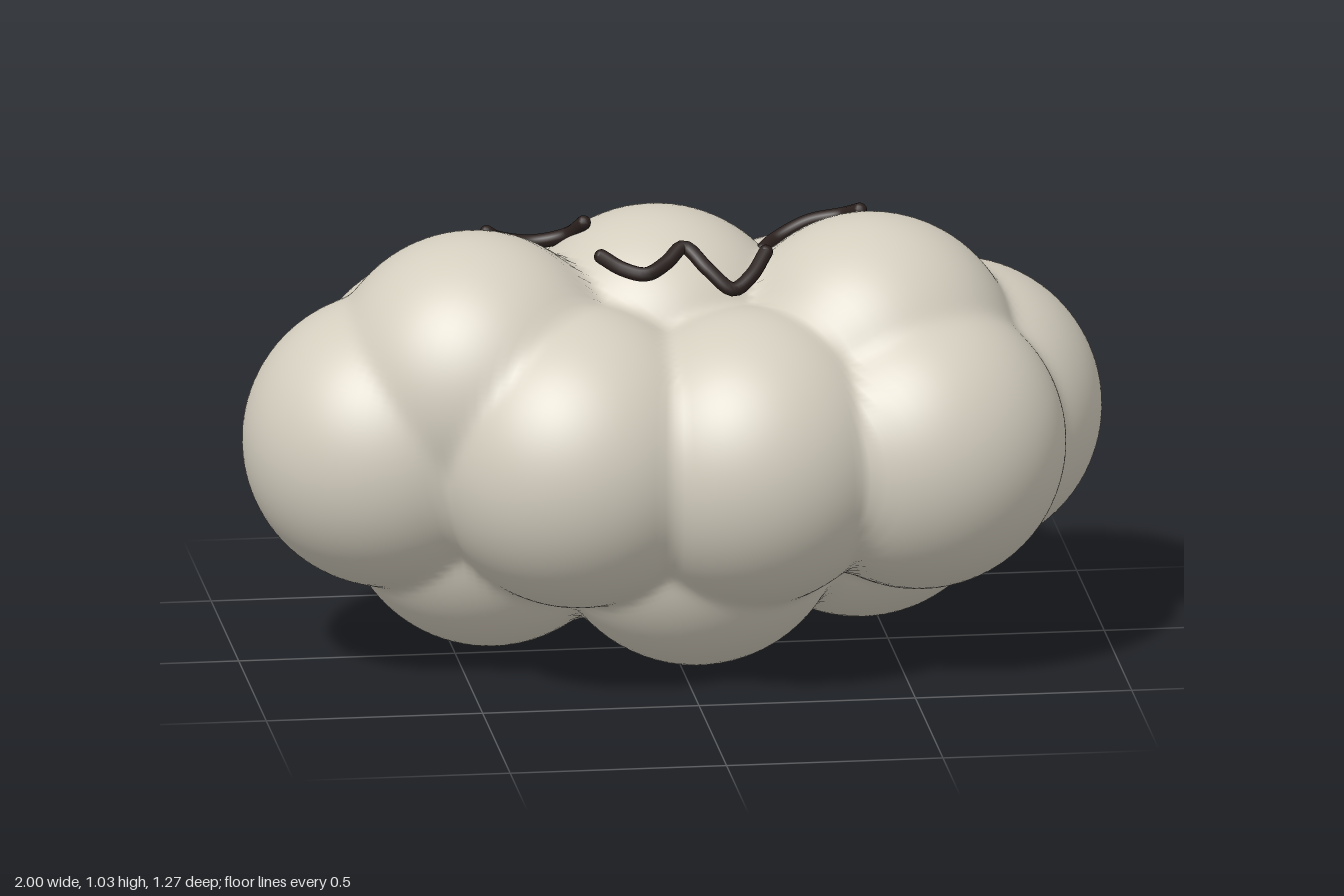
import * as THREE from 'three';
import { mergeVertices } from 'three/addons/utils/BufferGeometryUtils.js';

// Puffs of the cloud: x, y, z, radius
const PUFFS = [
  [-0.66, 0.54, 0.08, 0.34], [0.66, 0.535, -0.06, 0.34],                               // sides
  [-0.25, 0.54, 0.27, 0.35], [0.14, 0.53, 0.29, 0.345], [0.54, 0.535, 0.23, 0.34],     // front
  [-0.48, 0.54, -0.22, 0.345], [-0.1, 0.55, -0.29, 0.35], [0.33, 0.54, -0.25, 0.35],   // back
  [-0.47, 0.69, 0.12, 0.34], [-0.03, 0.69, -0.05, 0.34], [0.45, 0.69, 0.08, 0.34],     // top
  [-0.42, 0.365, -0.01, 0.34], [0.04, 0.345, 0.12, 0.345], [0.44, 0.39, -0.06, 0.34],  // bottom
];
const SOFTNESS = 0.008;
const CENTRE = new THREE.Vector3(0, 0.53, 0);

// Distance to the softly blended union of all puffs
function distance(p) {
  let sum = 0;
  for (const [x, y, z, r] of PUFFS) {
    sum += Math.exp(-(Math.hypot(p.x - x, p.y - y, p.z - z) - r) / SOFTNESS);
  }
  return -SOFTNESS * Math.log(sum);
}

// A fine sphere whose vertices are moved along rays onto the blended puffs
function cloudGeometry() {
  let geo = new THREE.IcosahedronGeometry(1, 42);
  geo.deleteAttribute('normal');
  geo.deleteAttribute('uv');
  geo = mergeVertices(geo, 1e-5);
  const pos = geo.attributes.position;
  const dir = new THREE.Vector3(), p = new THREE.Vector3();
  for (let i = 0; i < pos.count; i++) {
    dir.fromBufferAttribute(pos, i).multiply(new THREE.Vector3(1, 0.52, 0.64)).normalize();
    // step inwards to the outermost surface
    let t = 1.15;
    for (let s = 0; s < 60; s++) {
      const d = distance(p.copy(CENTRE).addScaledVector(dir, t));
      if (Math.abs(d) < 1e-4) break;
      t -= d;
    }
    p.copy(CENTRE).addScaledVector(dir, t);
    pos.setXYZ(i, p.x, p.y, p.z);
  }
  geo.computeVertexNormals();
  return geo;
}

// Round-ended cord along a smooth path
function cord(name, points, material) {
  const radius = 0.017;
  const group = new THREE.Group();
  group.name = name;
  const path = points.map((q) => new THREE.Vector3(...q));
  const curve = new THREE.CatmullRomCurve3(path);
  group.add(new THREE.Mesh(new THREE.TubeGeometry(curve, 48, radius, 10), material));
  for (const end of [path[0], path[path.length - 1]]) {
    const cap = new THREE.Mesh(new THREE.SphereGeometry(radius, 12, 8), material);
    cap.position.copy(end);
    group.add(cap);
  }
  group.children.forEach((m) => { m.name = name + 'Part'; });
  return group;
}

// Closed smiling eye: an arch seen from above, with its own heights
function eye(name, x, heights, material) {
  const outline = [[-0.112, -0.04], [-0.08, -0.085], [0, -0.105], [0.08, -0.085], [0.112, -0.04]];
  return cord(name, outline.map(([dx, z], i) => [x + dx, heights[i], z]), material);
}

export function createModel() {
  const cream = new THREE.MeshStandardMaterial({ color: 0xd4cebf });
  cream.name = 'cream';
  const dark = new THREE.MeshStandardMaterial({ color: 0x2b211e });
  dark.name = 'darkBrown';

  const model = new THREE.Group();
  model.name = 'cloud';

  const body = new THREE.Mesh(cloudGeometry(), cream);
  body.name = 'puffyBody';
  model.add(body);

  // Face on the upper side
  model.add(eye('rightEye', -0.31, [0.99, 0.962, 0.945, 0.965, 1.005], dark));
  model.add(eye('leftEye', 0.328, [0.925, 0.935, 0.97, 0.99, 1.012], dark));
  model.add(cord('mouth', [
    [-0.18, 0.975, 0.14], [-0.135, 0.957, 0.19], [-0.085, 0.95, 0.213], [-0.035, 0.968, 0.185],
    [0.01, 0.993, 0.148], [0.06, 0.95, 0.19], [0.115, 0.907, 0.213], [0.16, 0.93, 0.188], [0.2, 0.972, 0.14],
  ], dark));
  return model;
}
